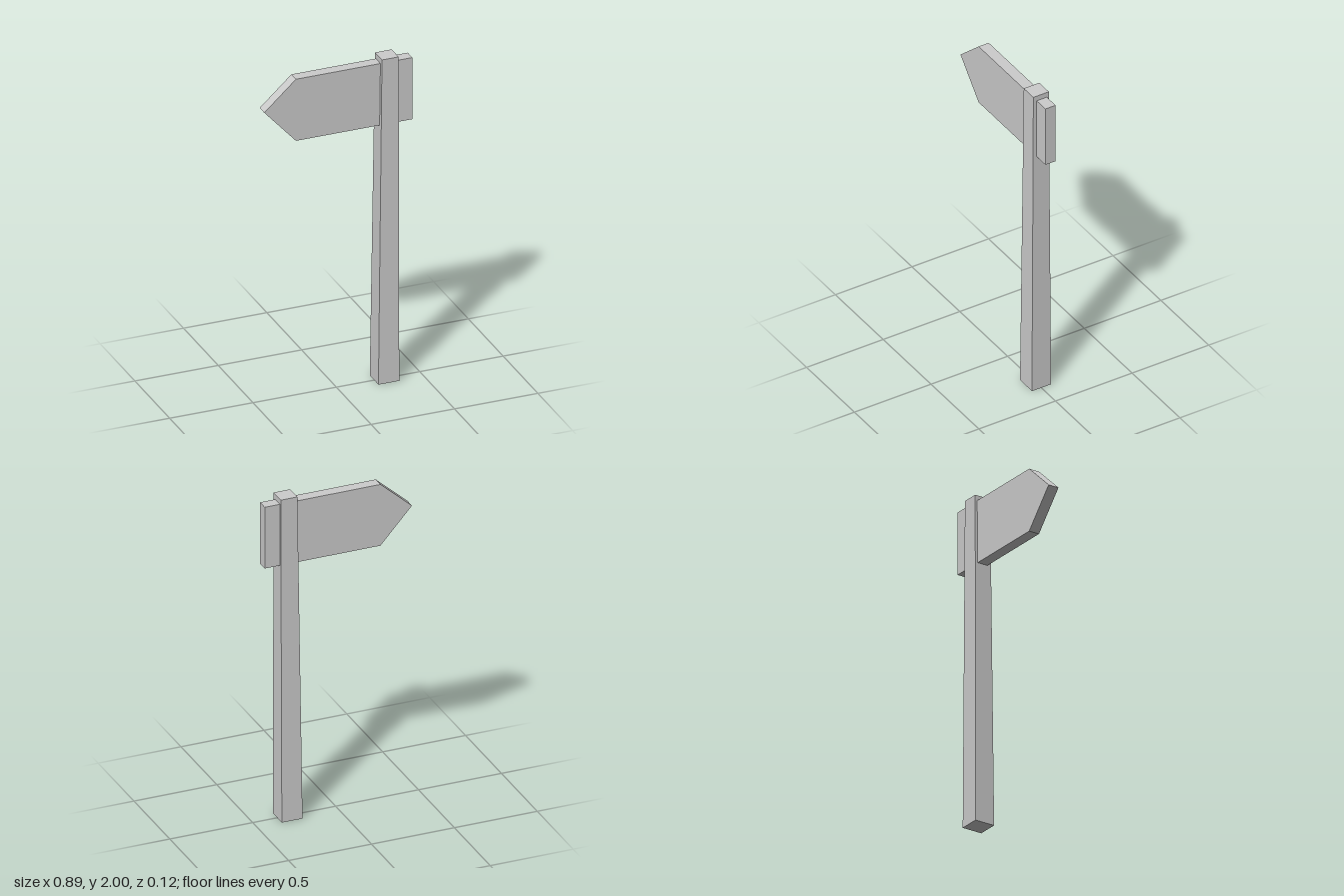
import * as THREE from 'three';

export function createModel() {
  const group = new THREE.Group();
  const material = new THREE.MeshStandardMaterial({ color: 0xcccccc, flatShading: true });

  // Square post, narrowing upward
  const postGeometry = new THREE.BoxGeometry(1, 2, 1);
  postGeometry.translate(0, 1, 0);
  const base = { x: [0.227, 0.352], z: [-0.064, 0.061] };
  const top = { x: [0.252, 0.352], z: [-0.049, 0.052] };
  const p = postGeometry.attributes.position;
  for (let i = 0; i < p.count; i++) {
    const end = p.getY(i) > 1 ? top : base;
    p.setX(i, end.x[p.getX(i) > 0 ? 1 : 0]);
    p.setZ(i, end.z[p.getZ(i) > 0 ? 1 : 0]);
  }
  postGeometry.computeVertexNormals();
  const post = new THREE.Mesh(postGeometry, material);
  post.name = 'post';
  group.add(post);

  // Pointed board passing through the post
  const outline = new THREE.Shape([
    [0.443, 1.587], [0.443, 1.968], [-0.255, 1.968], [-0.445, 1.797], [-0.255, 1.587],
  ].map(([x, y]) => new THREE.Vector2(x, y)));
  const boardGeometry = new THREE.ExtrudeGeometry(outline, { depth: 0.066, bevelEnabled: false });
  boardGeometry.translate(0, 0, -0.036);
  const board = new THREE.Mesh(boardGeometry, material);
  board.name = 'arrowBoard';
  group.add(board);

  return group;
}
